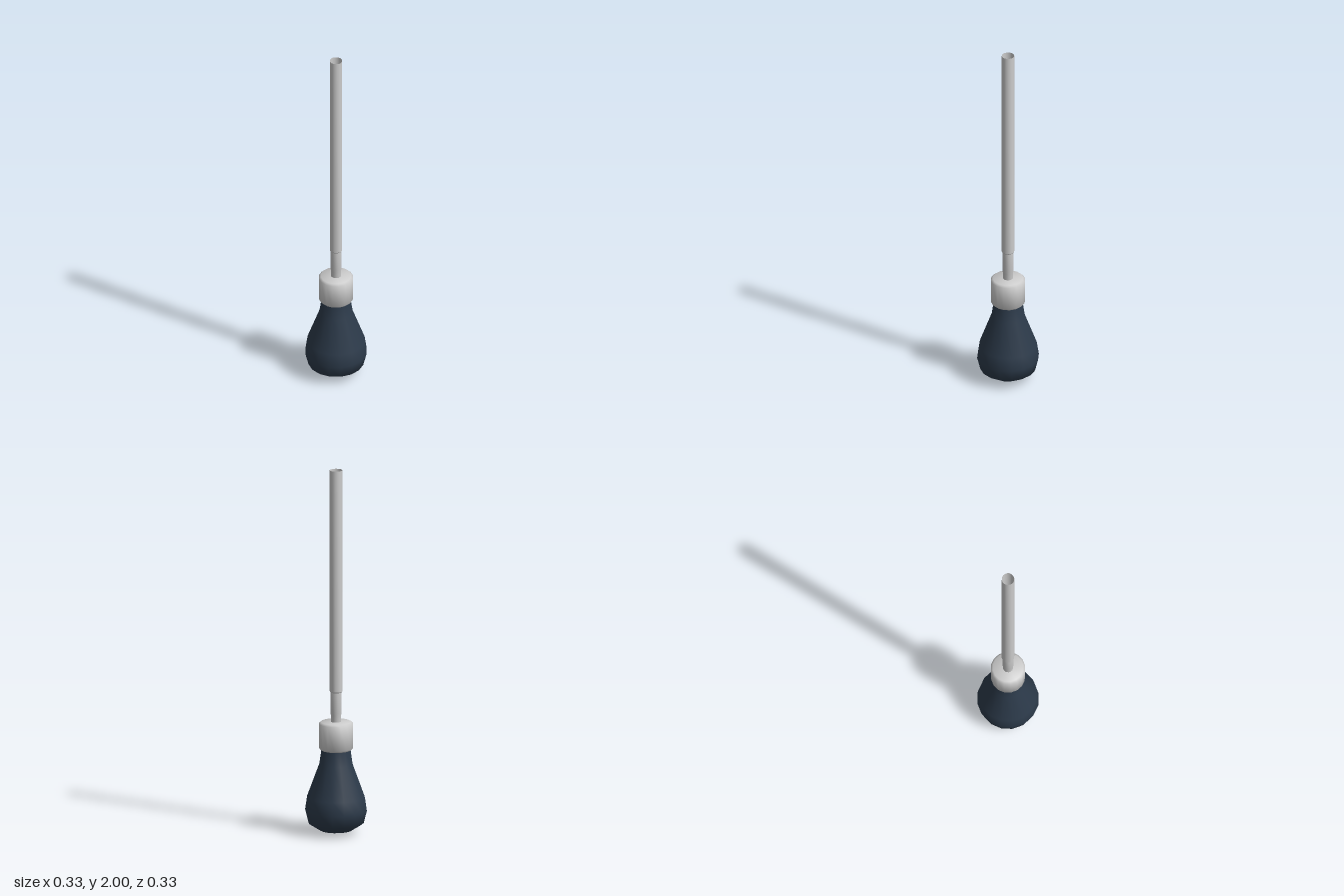
import * as THREE from 'three';
import { toCreasedNormals } from 'three/addons/utils/BufferGeometryUtils.js';

// Revolve a [radius, height] profile, listed from bottom to top
function turned(name, profile, sides, material, crease) {
  const points = profile.map(([r, y]) => new THREE.Vector2(r, y));
  let geometry = new THREE.LatheGeometry(points, sides);
  if (crease) geometry = toCreasedNormals(geometry, crease);
  const mesh = new THREE.Mesh(geometry, material);
  mesh.name = name;
  return mesh;
}

export function createModel() {
  const group = new THREE.Group();
  group.name = 'handTool';
  const grey = new THREE.MeshStandardMaterial({ color: 0xcccccc });
  const tubeGrey = new THREE.MeshStandardMaterial({ color: 0xcccccc, side: THREE.DoubleSide });
  const navy = new THREE.MeshStandardMaterial({ color: 0x2c3a4a });

  // Pear-shaped grip with a rounded butt
  group.add(turned('handle', [
    [0, 0], [0.088, 0.017], [0.15, 0.057], [0.167, 0.125],
    [0.156, 0.2], [0.09, 0.38], [0.077, 0.47],
  ], 16, navy));

  // Ferrule with softened rims
  group.add(turned('collar', [
    [0, 0.458], [0.082, 0.458], [0.092, 0.468],
    [0.093, 0.602], [0.082, 0.612], [0, 0.614],
  ], 16, grey, 0.9));

  // Long open tube, stepped in slightly towards the collar
  group.add(turned('shaft', [
    [0.028, 0.6], [0.028, 0.65], [0.031, 0.665],
    [0.031, 0.775], [0.034, 0.78], [0.034, 2],
  ], 16, tubeGrey, 0.5));

  return group;
}
